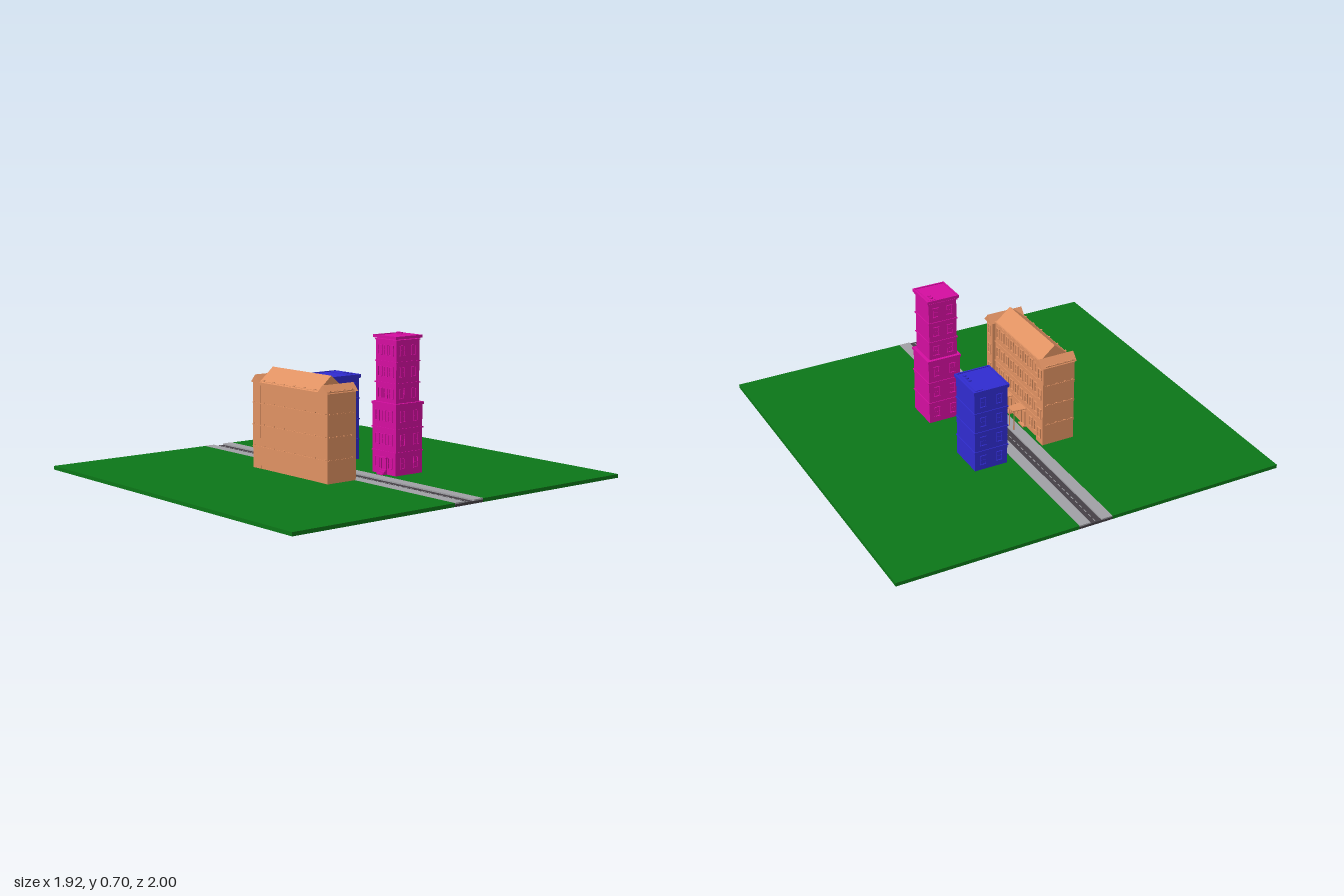
import * as THREE from 'three';

const paint = (color) => new THREE.MeshStandardMaterial({ color, flatShading: true });

export function createModel() {
  const model = new THREE.Group();
  const green = paint(0x0c7618), stone = paint(0xa0a0a5), asphalt = paint(0x454046);
  const blue = paint(0x302cd0), pink = paint(0xd40ea0), tan = paint(0xdf9162);
  const G = 0.018; // ground level

  const group = (name, parent = model) => {
    const g = new THREE.Group();
    g.name = name;
    parent.add(g);
    return g;
  };
  // box from its minimum and maximum corners
  const box = (parent, name, mat, x0, x1, y0, y1, z0, z1) => {
    const m = new THREE.Mesh(new THREE.BoxGeometry(x1 - x0, y1 - y0, z1 - z0), mat);
    m.position.set((x0 + x1) / 2, (y0 + y1) / 2, (z0 + z1) / 2);
    m.name = name;
    parent.add(m);
    return m;
  };
  // gable roof: width across, extruded along the ridge; alongX turns the ridge to x
  const gable = (parent, mat, cx, cz, width, length, eave, peak, alongX) => {
    const s = new THREE.Shape();
    s.moveTo(-width / 2, eave);
    s.lineTo(width / 2, eave);
    s.lineTo(0, peak);
    const geo = new THREE.ExtrudeGeometry(s, { depth: length, bevelEnabled: false });
    geo.translate(0, 0, -length / 2);
    if (alongX) geo.rotateY(Math.PI / 2);
    const m = new THREE.Mesh(geo, mat);
    m.position.set(cx, 0, cz);
    m.name = 'gableRoof';
    parent.add(m);
  };
  // framed window: four bars and a sill around a thin pane, facing +z before turning
  const windowFrame = (parent, mat, x, y, z, w, h, turn) => {
    const g = group('window', parent);
    const t = 0.003, d = 0.004;
    for (const s of [-1, 1]) {
      box(g, 'jamb', mat, s * w / 2 - t / 2, s * w / 2 + t / 2, -h / 2, h / 2, 0, d);
    }
    box(g, 'lintel', mat, -w / 2 - t, w / 2 + t, h / 2, h / 2 + t, 0, d + 0.001);
    box(g, 'sill', mat, -w / 2 - t, w / 2 + t, -h / 2 - t, -h / 2, 0, d + 0.002);
    box(g, 'crossBar', mat, -w / 2, w / 2, -t / 4, t / 4, 0, 0.002);
    g.position.set(x, y, z);
    g.rotation.y = turn;
  };
  // rows of windows on one wall; axis 'x' or 'z' is the direction along the wall
  const windowRow = (parent, mat, axis, list, y, plane, side, w, h) => {
    for (const p of list) {
      if (axis === 'x') windowFrame(parent, mat, p, y, plane, w, h, side > 0 ? 0 : Math.PI);
      else windowFrame(parent, mat, plane, y, p, w, h, side * Math.PI / 2);
    }
  };

  // lawns, pavements and road
  const land = group('land');
  box(land, 'backLawn', green, -0.96, 0.96, 0, G, -1, -0.088);
  box(land, 'frontLawn', green, -0.96, 0.96, 0, G, 0.085, 1);
  box(land, 'road', asphalt, -0.96, 0.96, 0, 0.012, -0.088, 0.085);
  box(land, 'backPavement', stone, -0.96, 0.96, 0.012, G + 0.001, -0.088, -0.03);
  box(land, 'frontPavement', stone, -0.96, 0.96, 0.012, G + 0.001, 0.028, 0.085);
  for (let i = 0; i < 48; i++) {
    const x = -0.94 + i * 0.04;
    box(land, 'laneDash', stone, x - 0.011, x + 0.011, 0.012, 0.0128, -0.003, 0.001);
  }

  // square tower storeys with a band at each floor
  const storeys = (parent, mat, cx, cz, hw, hd, y0, y1, n) => {
    const h = (y1 - y0) / n;
    box(parent, 'walls', mat, cx - hw, cx + hw, y0, y1, cz - hd, cz + hd);
    for (let i = 0; i < n; i++) {
      const y = y0 + i * h, e = 0.004;
      box(parent, 'floorBand', mat, cx - hw - e, cx + hw + e, y + h - 0.006, y + h, cz - hd - e, cz + hd + e);
      const xs = [-0.55, 0, 0.55].map((k) => cx + k * hw);
      const zs = [-0.5, 0.5].map((k) => cz + k * hd);
      const wy = y + h * 0.5;
      const row = i === 0 && y0 < 0.05 ? [xs[0], xs[2]] : xs;
      windowRow(parent, mat, 'x', row, wy, cz + hd, 1, 0.026, h * 0.42);
      for (const s of [-1, 1]) windowRow(parent, mat, 'z', zs, wy, cx + s * hw, s, 0.026, h * 0.42);
    }
  };
  // flat roof with a low parapet and rooftop vents
  const flatRoof = (parent, mat, cx, cz, hw, hd, y, vents) => {
    box(parent, 'roofSlab', mat, cx - hw, cx + hw, y - 0.014, y - 0.004, cz - hd, cz + hd);
    const t = 0.008;
    for (const s of [-1, 1]) {
      const px = cx + s * (hw - t / 2), pz = cz + s * (hd - t / 2);
      box(parent, 'parapet', mat, px - t / 2, px + t / 2, y - 0.004, y, cz - hd, cz + hd);
      box(parent, 'parapet', mat, cx - hw + t, cx + hw - t, y - 0.004, y, pz - t / 2, pz + t / 2);
    }
    box(parent, 'ventBase', mat, cx - hw * 0.85, cx + hw * 0.85, y - 0.004, y - 0.001, cz - hd + 0.015, cz - hd + 0.055);
    for (const k of vents) {
      const v = new THREE.Mesh(new THREE.CylinderGeometry(0.009, 0.009, 0.012, 12), mat);
      v.position.set(cx + k * hw, y, cz - hd + 0.035);
      v.name = 'vent';
      parent.add(v);
    }
  };
  // front door with steps down to the pavement
  const entrance = (parent, mat, cx, z, hw) => {
    for (let i = 0; i < 3; i++) {
      box(parent, 'step', mat, cx - hw, cx + hw, G, G + 0.008 * (i + 1), z, z + 0.03 - i * 0.01);
    }
    for (const s of [-1, 1]) {
      box(parent, 'doorPost', mat, cx + s * 0.018 - 0.003, cx + s * 0.018 + 0.003, G + 0.02, 0.1, z, z + 0.006);
    }
    box(parent, 'doorLintel', mat, cx - 0.024, cx + 0.024, 0.096, 0.103, z, z + 0.01);
  };

  // blue apartment block
  const b = group('blueBlock');
  storeys(b, blue, -0.245, -0.212, 0.095, 0.086, G, 0.438, 4);
  flatRoof(b, blue, -0.245, -0.212, 0.103, 0.093, 0.452, [0.1, 0.35, 0.6]);
  entrance(b, blue, -0.245, -0.126, 0.04);

  // pink tower in two tiers
  const p = group('pinkTower');
  storeys(p, pink, 0.24, -0.211, 0.085, 0.085, G, 0.36, 3);
  box(p, 'tierLedge', pink, 0.15, 0.33, 0.355, 0.367, -0.301, -0.121);
  storeys(p, pink, 0.24, -0.21, 0.074, 0.074, 0.36, 0.672, 3);
  flatRoof(p, pink, 0.24, -0.21, 0.083, 0.084, 0.69, [-0.6, -0.35]);
  entrance(p, pink, 0.24, -0.126, 0.022);

  // long gabled house, entrances towards the road
  const h = group('gabledHouse');
  const base = 0.022;
  box(h, 'mainWalls', tan, -0.235, 0.225, base, 0.452, 0.108, 0.262);
  gable(h, tan, -0.004, 0.188, 0.166, 0.45, 0.45, 0.521, true);
  for (const cx of [-0.261, 0.257]) {
    box(h, 'wingWalls', tan, cx - 0.031, cx + 0.031, base, 0.45, 0.093, 0.264);
    gable(h, tan, cx, 0.177, 0.072, 0.19, 0.447, 0.486, false);
  }
  for (let i = 0; i < 4; i++) {
    const y = 0.13 + i * 0.108;
    box(h, 'floorBand', tan, -0.294, 0.29, y - 0.003, y + 0.002, 0.105, 0.266);
    const wy = y - 0.05, main = [];
    for (let k = 0; k < 9; k++) main.push(-0.2 + k * 0.049);
    // ground floor leaves room for the two doors
    const row = i ? main : main.filter((x) => Math.abs(Math.abs(x) - 0.072) > 0.035);
    windowRow(h, tan, 'x', row, wy, 0.108, -1, 0.024, 0.05);
    windowRow(h, tan, 'x', [-0.261, 0.257], wy, 0.093, -1, 0.028, 0.05);
    // small wall anchors on the far side and the ends
    for (let k = 0; k < 8; k++) {
      const x = -0.28 + k * 0.079;
      box(h, 'wallAnchor', tan, x - 0.005, x + 0.005, y + 0.004, y + 0.007, 0.26, 0.268);
    }
    for (const s of [-1, 1]) for (const z of [0.12, 0.165, 0.21, 0.25]) {
      const x = -0.002 + s * 0.291;
      box(h, 'wallAnchor', tan, x - 0.005, x + 0.003, y + 0.004, y + 0.007, z - 0.005, z + 0.005);
    }
  }
  // porches: tapered canopy on two slim posts above a door
  for (const cx of [-0.073, 0.07]) {
    const porch = group('porch', h);
    const s = new THREE.Shape([[-0.026, -0.033], [0.026, -0.033], [0.035, -0.11], [-0.035, -0.11]]
      .map(([x, y]) => new THREE.Vector2(x, y)));
    const geo = new THREE.ExtrudeGeometry(s, { depth: 0.004, bevelEnabled: false });
    geo.rotateX(-Math.PI / 2);
    const roof = new THREE.Mesh(geo, tan);
    roof.position.set(cx, 0.125, 0);
    roof.name = 'canopy';
    porch.add(roof);
    for (const k of [-1, 1]) {
      const x = cx + k * 0.022;
      box(porch, 'post', tan, x - 0.002, x + 0.002, G, 0.126, 0.04, 0.044);
      const dx = cx + k * 0.018;
      box(porch, 'doorPost', tan, dx - 0.003, dx + 0.003, base, 0.1, 0.103, 0.109);
    }
    box(porch, 'doorLintel', tan, cx - 0.021, cx + 0.021, 0.1, 0.105, 0.102, 0.109);
    box(porch, 'doorstep', tan, cx - 0.024, cx + 0.024, G, 0.026, 0.092, 0.109);
  }
  return model;
}
